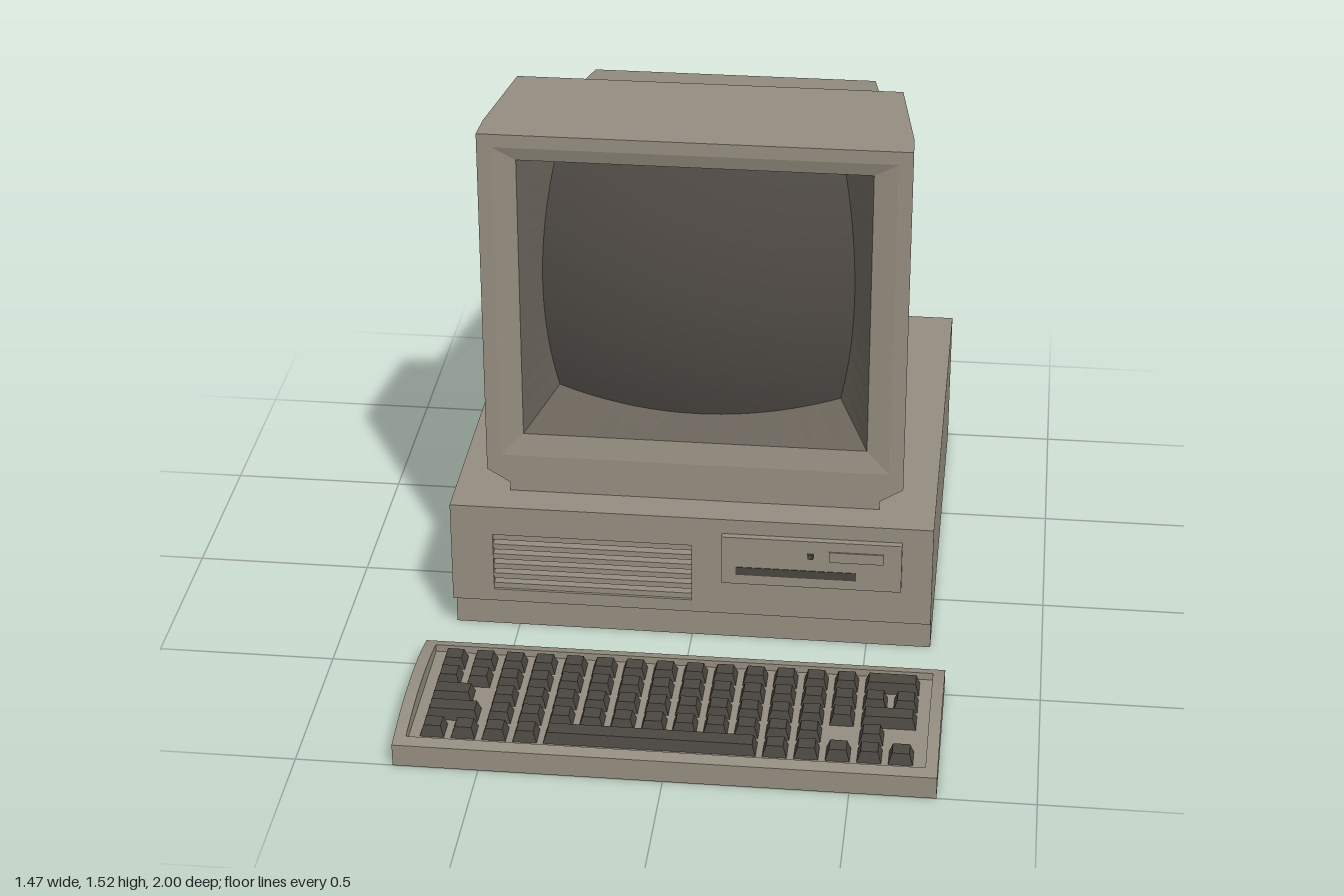
import * as THREE from 'three';

const mat = (name, color) => {
  const m = new THREE.MeshStandardMaterial({ color });
  m.name = name;
  return m;
};

export function createModel() {
  const body = mat('beige plastic', 0x948d80);
  const recessMat = mat('recess brown', 0x686259);
  const glass = mat('screen glass', 0x504b46);
  const dark = mat('dark plastic', 0x4a4640);

  const root = new THREE.Group();
  root.name = 'desktopComputer';
  const group = (name) => {
    const g = new THREE.Group();
    g.name = name;
    root.add(g);
    return g;
  };
  const add = (parent, name, geo, material) => {
    const m = new THREE.Mesh(geo, material);
    m.name = name;
    parent.add(m);
    return m;
  };
  // Box given by its limits on each axis
  const box = (parent, name, material, x0, x1, y0, y1, z0, z1) => {
    const m = add(parent, name, new THREE.BoxGeometry(x1 - x0, y1 - y0, z1 - z0), material);
    m.position.set((x0 + x1) / 2, (y0 + y1) / 2, (z0 + z1) / 2);
    return m;
  };
  // Faceted surface through closed rings of [x, y, z]
  const loft = (rings) => {
    const pos = [];
    for (let r = 0; r < rings.length - 1; r++) {
      const a = rings[r], b = rings[r + 1], n = a.length;
      for (let i = 0; i < n; i++) {
        const j = (i + 1) % n;
        pos.push(...a[i], ...a[j], ...b[j], ...a[i], ...b[j], ...b[i]);
      }
    }
    const g = new THREE.BufferGeometry();
    g.setAttribute('position', new THREE.Float32BufferAttribute(pos, 3));
    g.computeVertexNormals();
    return g;
  };
  const polygon = (pts) => new THREE.Shape(pts.map(([x, y]) => new THREE.Vector2(x, y)));
  const rect = (x0, x1, y0, y1) => polygon([[x0, y0], [x1, y0], [x1, y1], [x0, y1]]);
  // Extrudes a [z, y] outline along x
  const extrudeX = (pts, x0, x1) =>
    new THREE.ExtrudeGeometry(polygon(pts.map(([z, y]) => [-z, y])), { depth: x1 - x0, bevelEnabled: false })
      .rotateY(Math.PI / 2).translate(x0, 0, 0);

  // ---- System case ----
  const unit = group('systemUnit');
  box(unit, 'caseBody', body, -0.683, 0.683, 0, 0.415, -1, 0.26);
  const panel = rect(-0.683, 0.683, 0.107, 0.415);
  panel.holes.push(rect(-0.563, 0.003, 0.145, 0.325));
  add(unit, 'frontPanel', new THREE.ExtrudeGeometry(panel, { depth: 0.05, bevelEnabled: false }), body)
    .position.z = 0.26;
  box(unit, 'ventBack', dark, -0.563, 0.003, 0.145, 0.325, 0.26, 0.266);
  for (let i = 0; i < 6; i++) {
    const y = 0.147 + i * 0.0318;
    box(unit, 'ventSlat', body, -0.563, 0.003, y, y + 0.017, 0.266, 0.305);
  }

  // ---- Disk drive ----
  const drive = group('diskDrive');
  box(drive, 'driveFace', body, 0.09, 0.597, 0.22, 0.37, 0.31, 0.33);
  box(drive, 'driveSlot', dark, 0.13, 0.47, 0.25, 0.275, 0.33, 0.332);
  box(drive, 'driveButton', body, 0.393, 0.546, 0.308, 0.34, 0.33, 0.334);
  box(drive, 'driveLamp', dark, 0.333, 0.349, 0.317, 0.331, 0.33, 0.339);

  // ---- Monitor ----
  const monitor = group('monitor');
  const section = (w, top, z) => [
    [-w + 0.065, 0.416, z], [w - 0.065, 0.416, z], [w - 0.065, 0.442, z], [w, 0.482, z],
    [w, top, z], [-w, top, z], [-w, 0.482, z], [-w + 0.065, 0.442, z],
  ];
  const front = section(0.59, 1.518, 0.21);
  add(monitor, 'monitorShell', loft([
    front.map(() => [0, 0.9, -0.953]),
    section(0.425, 1.227, -0.953),
    section(0.54, 1.322, -0.196),
    section(0.54, 1.518, -0.196),
    section(0.586, 1.518, 0.12),
    front,
  ]), body);
  const face = polygon(front);
  face.holes.push(rect(-0.55, 0.55, 0.53, 1.48));
  add(monitor, 'frontFrame', new THREE.ShapeGeometry(face).translate(0, 0, 0.21), body);

  // Points around the unit square, anticlockwise from the lower left
  const around = [];
  const N = 12;
  [[-1, -1, 1, 0], [1, -1, 0, 1], [1, 1, -1, 0], [-1, 1, 0, -1]].forEach(([u, v, du, dv]) => {
    for (let i = 0; i < N; i++) around.push([u + (du * 2 * i) / N, v + (dv * 2 * i) / N]);
  });
  const ring = (w, y0, y1, z) => around.map(([u, v]) => [u * w, (y0 + y1) / 2 + (v * (y1 - y0)) / 2, z]);
  // Bulging tube face with bowed edges
  const screenPoint = ([u, v]) => {
    const x = u * (0.4 + 0.035 * (1 - v * v));
    const dy = v * (0.35 + (v > 0 ? 0.03 : 0.045) * (1 - u * u));
    return [x, 1.032 + dy, 0.19 - 0.01 - 0.42 * x * x - 0.47 * dy * dy];
  };
  const opening = ring(0.485, 0.595, 1.44, 0.198);
  add(monitor, 'bezelSlope', loft([ring(0.55, 0.53, 1.48, 0.21), opening]), body);
  add(monitor, 'screenRecess', loft([opening, around.map(screenPoint)]), recessMat);
  const screen = new THREE.PlaneGeometry(2, 2, 2 * N, 2 * N);
  const p = screen.attributes.position;
  for (let i = 0; i < p.count; i++) p.setXYZ(i, ...screenPoint([p.getX(i), p.getY(i)]));
  screen.computeVertexNormals();
  add(monitor, 'screen', screen, glass);

  // ---- Keyboard ----
  const keyboard = group('keyboard');
  const arc = (z0, z1, n) => Array.from({ length: n + 1 }, (_, i) => {
    const z = z0 + ((z1 - z0) * i) / n;
    return [z, 0.065 + 0.03 * (1 - ((z - 0.7375) / 0.2625) ** 2)];
  });
  const FLOOR = 0.05;
  const cheek = [[1, 0], [0.475, 0], ...arc(0.475, 1, 20)];
  const tray = [[1, 0], [0.475, 0], ...arc(0.475, 0.506, 2), [0.506, FLOOR], [0.965, FLOOR], ...arc(0.965, 1, 2)];
  add(keyboard, 'keyboardTray', extrudeX(tray, -0.7, 0.7), body);
  add(keyboard, 'rightCheek', extrudeX(cheek, -0.733, -0.7), body);
  add(keyboard, 'leftCheek', extrudeX(cheek, 0.7, 0.733), body);

  // Tapered key between two x limits
  const PITCH = 0.0846;
  const key = (x0, x1, row) => {
    const w = x1 - x0, d = 0.066, h = 0.081 - FLOOR;
    const g = new THREE.BoxGeometry(w, h, d);
    const q = g.attributes.position;
    for (let i = 0; i < q.count; i++) {
      if (q.getY(i) > 0) {
        q.setX(i, q.getX(i) - Math.sign(q.getX(i)) * 0.01);
        q.setZ(i, q.getZ(i) - Math.sign(q.getZ(i)) * 0.01);
      }
    }
    g.computeVertexNormals();
    add(keyboard, 'key', g, dark).position.set((x0 + x1) / 2, FLOOR + h / 2, 0.557 + row * PITCH);
  };
  // Each row: first and last column of single keys, and wide keys by their limits
  const rows = [
    { runs: [[0, 13]], wide: [[0.515, 0.665]] },
    { runs: [[0, 15]], wide: [] },
    { runs: [[2, 13]], wide: [[-0.67, -0.556], [0.515, 0.665]] },
    { runs: [[2, 12], [14, 14]], wide: [[-0.67, -0.525]] },
    { runs: [[0, 3], [11, 15]], wide: [[-0.333, 0.243]] },
  ];
  rows.forEach(({ runs, wide }, r) => {
    runs.forEach(([a, b]) => {
      for (let c = a; c <= b; c++) {
        const x = -0.637 + c * PITCH;
        key(x - 0.033, x + 0.033, r);
      }
    });
    wide.forEach(([x0, x1]) => key(x0, x1, r));
  });

  return root;
}
